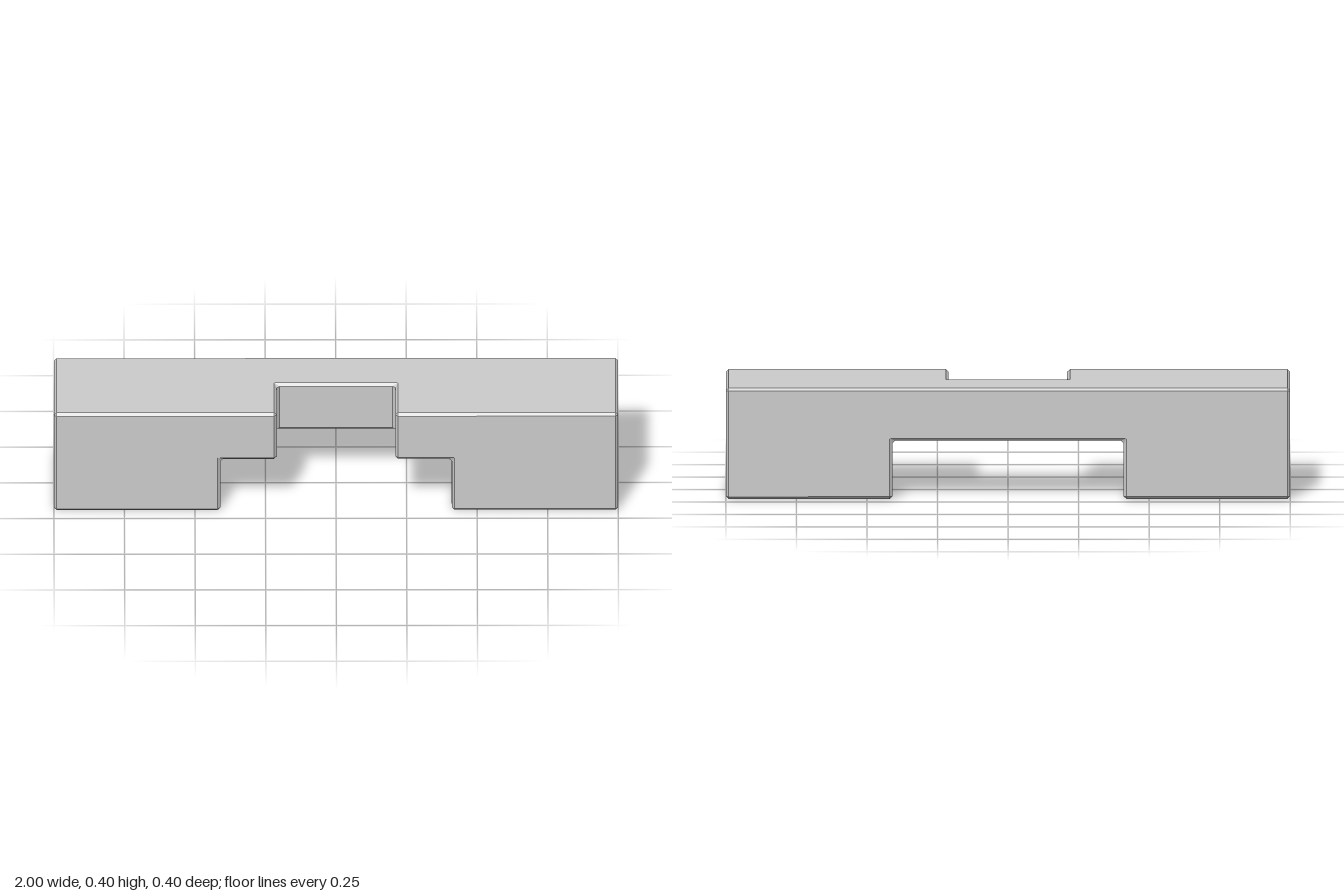
import * as THREE from 'three';

const L = 1, H = 0.4, D = 0.2;        // half length, height, half depth
const BX = 0.41, BY = 0.21;           // bottom notch: half width, ceiling height
const FX = 0.21, FZ = -0.01;          // front notch: half width, back wall
const C = 0.01;                       // chamfer

// Outlines run counter-clockwise in (u, v), the two axes following the normal axis.
function face(axis, sign, d, outline) {
  const corners = outline.map(([u, v]) => {
    const p = new THREE.Vector3();
    p.setComponent(axis, d);
    p.setComponent((axis + 1) % 3, u);
    p.setComponent((axis + 2) % 3, v);
    return p;
  });
  if (sign < 0) corners.reverse();
  const normal = new THREE.Vector3().setComponent(axis, sign);
  return { axis, normal, corners };
}

const rect = (u0, u1, v0, v1) => [[u0, v0], [u1, v0], [u1, v1], [u0, v1]];

// Horizontal outline (z, x) with the front notch cut out
const notched = (w) => [[-D, -w], [D, -w], [D, -FX], [FZ, -FX], [FZ, FX], [D, FX], [D, w], [-D, w]];

function barFaces() {
  const faces = [
    face(1, 1, H, notched(L)),                      // top
    face(1, -1, BY, notched(BX)),                   // bottom notch ceiling
    face(2, 1, FZ, rect(-FX, FX, BY, H)),           // front notch back wall
    face(2, -1, -D, [[-L, 0], [-BX, 0], [-BX, BY], [BX, BY], [BX, 0], [L, 0], [L, H], [-L, H]]), // back
  ];
  const front = [[FX, BY], [BX, BY], [BX, 0], [L, 0], [L, H], [FX, H]];
  for (const s of [1, -1]) {
    const half = front.map(([x, y]) => [s * x, y]);
    if (s < 0) half.reverse();
    faces.push(
      face(2, 1, D, half),                                                        // front
      face(1, -1, 0, rect(-D, D, Math.min(s * BX, s * L), Math.max(s * BX, s * L))), // foot
      face(0, s, s * L, rect(0, H, -D, D)),                                       // end
      face(0, -s, s * BX, rect(0, BY, -D, D)),                                    // bottom notch wall
      face(0, -s, s * FX, rect(BY, H, FZ, D)),                                    // front notch wall
    );
  }
  return faces;
}

// Shrinks every face, then bridges the edges with strips and the corners with triangles
function chamferedGeometry(faces, c) {
  const pos = [];
  const tri = (...pts) => pts.forEach((p) => pos.push(p.x, p.y, p.z));
  const key = (p) => p.toArray().map((n) => Math.round(n * 1000)).join();
  const edges = new Map();
  const around = new Map();

  for (const { axis, normal, corners } of faces) {
    const n = corners.length;
    const inward = corners.map((p, i) =>
      corners[(i + 1) % n].clone().sub(p).normalize().cross(normal).multiplyScalar(-c));
    const inset = corners.map((p, i) => p.clone().add(inward[i]).add(inward[(i + n - 1) % n]));
    const keys = corners.map(key);

    const flat = inset.map((p) =>
      new THREE.Vector2(p.getComponent((axis + 1) % 3), p.getComponent((axis + 2) % 3)));
    const reversed = THREE.ShapeUtils.isClockWise(flat);
    if (reversed) flat.reverse();
    const ring = reversed ? [...inset].reverse() : inset;
    for (const [i, j, k] of THREE.ShapeUtils.triangulateShape(flat, [])) {
      const [p, q, r] = [ring[i], ring[j], ring[k]];
      const out = q.clone().sub(p).cross(r.clone().sub(p)).dot(normal) > 0;
      if (out) tri(p, q, r); else tri(p, r, q);
    }

    for (let i = 0; i < n; i++) {
      const j = (i + 1) % n, h = (i + n - 1) % n;
      edges.set(keys[i] + '|' + keys[j], [inset[i], inset[j]]);
      if (!around.has(keys[i])) around.set(keys[i], new Map());
      around.get(keys[i]).set(keys[j], { prev: keys[h], point: inset[i] });
    }
  }

  // Edge strips
  for (const [name, [a, b]] of edges) {
    const [ka, kb] = name.split('|');
    if (ka > kb) continue;
    const [b2, a2] = edges.get(kb + '|' + ka);
    tri(b, a, a2);
    tri(b, a2, b2);
  }

  // Corner triangles
  for (const links of around.values()) {
    const first = links.values().next().value;
    const second = links.get(first.prev);
    const third = links.get(second.prev);
    tri(first.point, second.point, third.point);
  }

  const geometry = new THREE.BufferGeometry();
  geometry.setAttribute('position', new THREE.Float32BufferAttribute(pos, 3));
  geometry.computeVertexNormals();
  return geometry;
}

export function createModel() {
  const group = new THREE.Group();
  group.name = 'puzzlePiece';
  const material = new THREE.MeshStandardMaterial({ color: 0xcccccc, flatShading: true });
  const bar = new THREE.Mesh(chamferedGeometry(barFaces(), C), material);
  bar.name = 'notchedBar';
  group.add(bar);
  return group;
}
